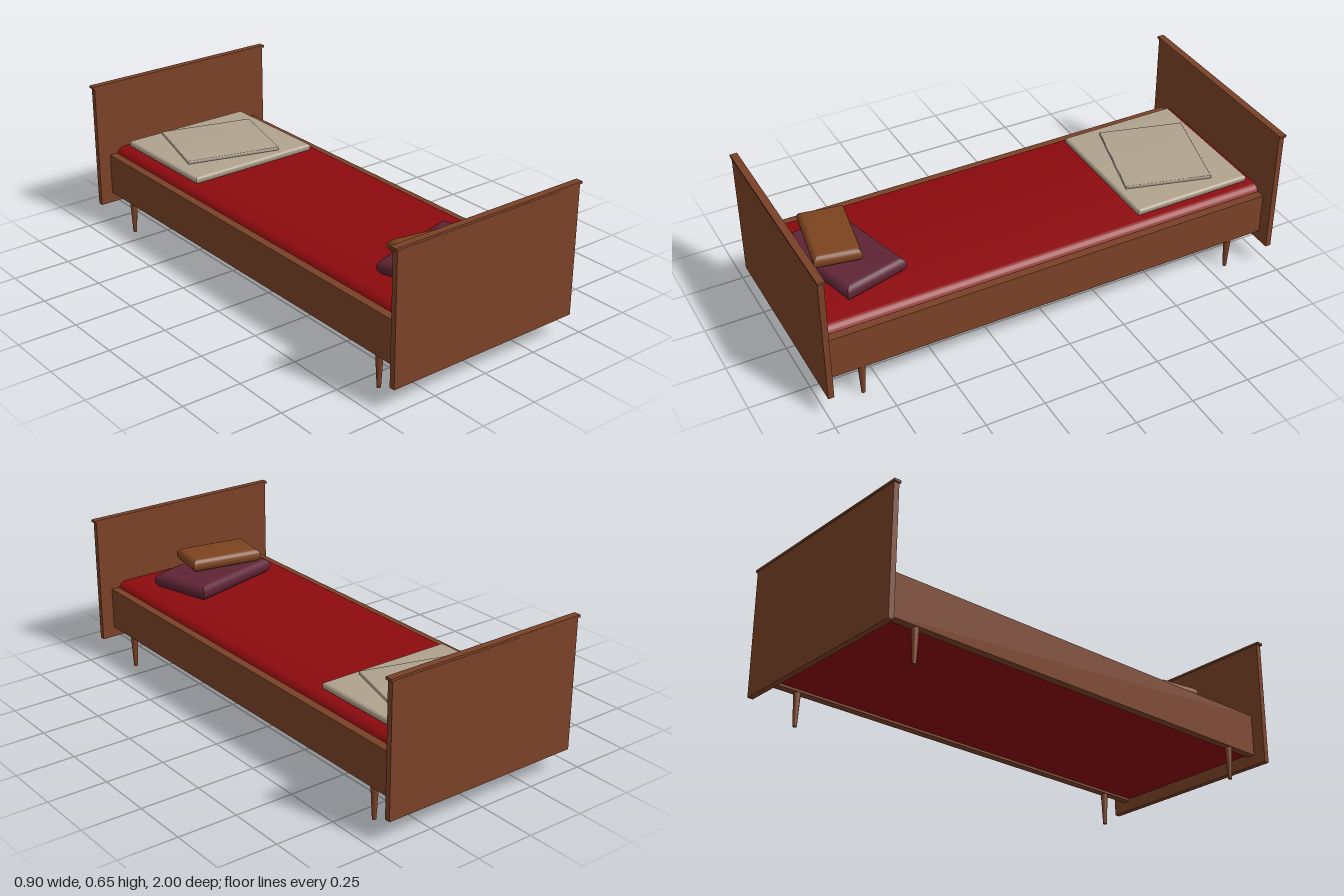
import * as THREE from 'three';
import { toCreasedNormals } from 'three/addons/utils/BufferGeometryUtils.js';

const material = (name, color) => {
  const m = new THREE.MeshStandardMaterial({ color });
  m.name = name;
  return m;
};

export function createModel() {
  const wood = material('wood', 0x7a4127);
  const red = material('red bedding', 0x8c0a0e);
  const cream = material('cream cloth', 0xb0a28e);
  const plum = material('plum fabric', 0x5e2436);
  const tan = material('brown fabric', 0x7c431f);

  const bed = new THREE.Group();
  bed.name = 'bed';

  const add = (name, geometry, mat, x, y, z, turn = 0) => {
    const mesh = new THREE.Mesh(geometry, mat);
    mesh.name = name;
    mesh.position.set(x, y, z);
    mesh.rotation.y = turn;
    bed.add(mesh);
    return mesh;
  };
  const box = (name, mat, w, h, d, x, y, z) =>
    add(name, new THREE.BoxGeometry(w, h, d), mat, x, y, z);

  // Slab with mitred corners and rounded sides, resting on y = 0
  const cushion = (w, h, d, r) => {
    const a = w / 2 - r, b = d / 2 - r;
    const shape = new THREE.Shape([
      new THREE.Vector2(-a, -b), new THREE.Vector2(a, -b),
      new THREE.Vector2(a, b), new THREE.Vector2(-a, b),
    ]);
    const g = new THREE.ExtrudeGeometry(shape, {
      depth: h - 2 * r, bevelEnabled: true, bevelSize: r, bevelThickness: r, bevelSegments: 6,
    });
    g.translate(0, 0, r);
    g.rotateX(-Math.PI / 2);
    return toCreasedNormals(g, 0.7);
  };

  // End boards with cap strips
  for (const [name, s] of [['footboard', 1], ['headboard', -1]]) {
    box(name, wood, 0.886, 0.545, 0.024, 0, 0.3675, s * 0.985);
    box(name + 'Cap', wood, 0.904, 0.01, 0.03, 0, 0.645, s * 0.985);
  }

  // Side rails and tapered legs
  for (const s of [1, -1]) {
    const side = s > 0 ? 'left' : 'right';
    box(side + 'Rail', wood, 0.035, 0.18, 1.946, s * 0.3695, 0.23, 0);
    for (const [end, z] of [['Front', 0.83], ['Back', -0.825]]) {
      add(side + end + 'Leg', new THREE.CylinderGeometry(0.016, 0.008, 0.15, 16), wood,
        s * 0.369, 0.075, z);
    }
  }

  // Mattress with its long upper edges rounded
  const half = 0.352, low = 0.15, top = 0.345, r = 0.04;
  const section = new THREE.Shape();
  section.moveTo(-half, low);
  section.lineTo(half, low);
  section.lineTo(half, top - r);
  section.absarc(half - r, top - r, r, 0, Math.PI / 2, false);
  section.lineTo(-half + r, top);
  section.absarc(-half + r, top - r, r, Math.PI / 2, Math.PI, false);
  section.closePath();
  const mattress = new THREE.ExtrudeGeometry(section, {
    depth: 1.946, bevelEnabled: false, curveSegments: 8,
  });
  mattress.translate(0, 0, -0.973);
  add('mattress', toCreasedNormals(mattress, 0.7), red, 0, 0, 0);

  // Flat pillow with a folded cloth on it
  add('flatPillow', cushion(0.597, 0.03, 0.52, 0.01), cream, -0.002, 0.345, -0.685);
  add('foldedCloth', cushion(0.41, 0.015, 0.365, 0.003), cream, -0.002, 0.375, -0.685, -0.27);

  // Two stacked cushions at the foot
  add('largeCushion', cushion(0.445, 0.07, 0.285, 0.034), plum, 0.007, 0.345, 0.74, 0.262);
  add('smallCushion', cushion(0.32, 0.06, 0.19, 0.029), tan, -0.042, 0.415, 0.767, -0.17);

  return bed;
}
